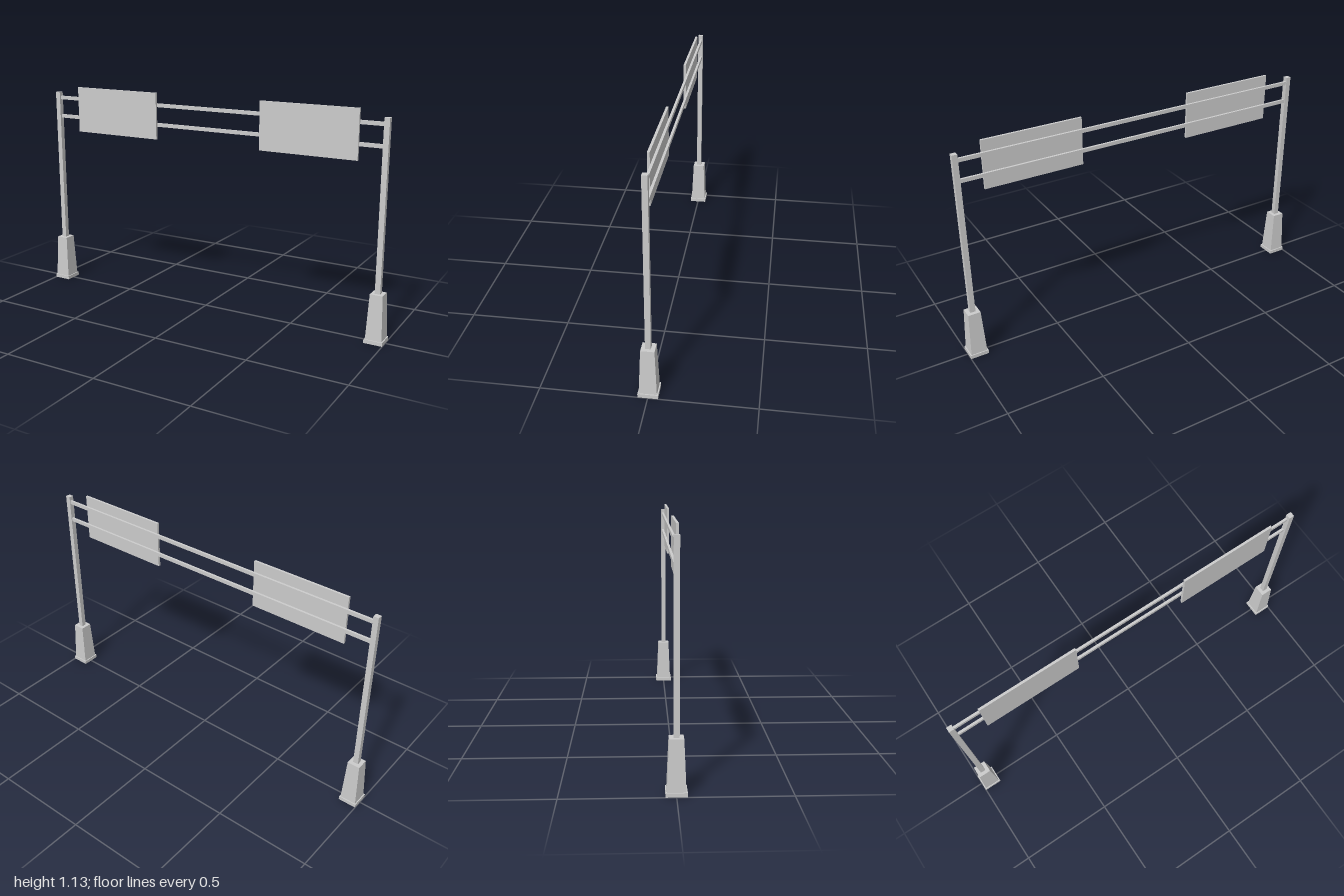
import * as THREE from 'three';

const material = new THREE.MeshStandardMaterial({ color: 0xcccccc, flatShading: true });

// Box given by its extents along each axis
function box(name, [x0, x1], [y0, y1], [z0, z1]) {
  const mesh = new THREE.Mesh(new THREE.BoxGeometry(x1 - x0, y1 - y0, z1 - z0), material);
  mesh.position.set((x0 + x1) / 2, (y0 + y1) / 2, (z0 + z1) / 2);
  mesh.name = name;
  return mesh;
}

// Square post on a tapered pedestal with a foot plate
function createSupport(name) {
  const support = new THREE.Group();
  support.name = name;

  const pedestalGeometry = new THREE.BoxGeometry(1, 0.23, 1);
  const p = pedestalGeometry.attributes.position;
  for (let i = 0; i < p.count; i++) {
    const width = p.getY(i) > 0 ? 0.064 : 0.083;
    p.setX(i, p.getX(i) * width);
    p.setZ(i, p.getZ(i) * width);
  }
  pedestalGeometry.computeVertexNormals();
  const pedestal = new THREE.Mesh(pedestalGeometry, material);
  pedestal.name = 'pedestal';
  pedestal.position.y = 0.134;

  support.add(
    box('footPlate', [-0.047, 0.047], [0, 0.019], [-0.047, 0.047]),
    pedestal,
    box('post', [-0.0135, 0.0135], [0.249, 1.098], [-0.0125, 0.0135])
  );
  return support;
}

export function createModel() {
  const gantry = new THREE.Group();
  gantry.name = 'signGantry';

  // Supports at both ends
  for (const side of [-1, 1]) {
    const support = createSupport(side > 0 ? 'leftSupport' : 'rightSupport');
    support.position.x = side * 0.953;
    gantry.add(support);
  }

  // Two cross beams between the posts
  gantry.add(
    box('upperBeam', [-0.95, 0.95], [1.057, 1.076], [-0.009, 0.003]),
    box('lowerBeam', [-0.95, 0.95], [0.953, 0.972], [-0.009, 0.003])
  );

  // Sign panels on the front of the beams
  gantry.add(
    box('rightSign', [-0.807, -0.295], [0.886, 1.133], [0.003, 0.015]),
    box('leftSign', [0.311, 0.823], [0.886, 1.133], [0.003, 0.015])
  );
  return gantry;
}
